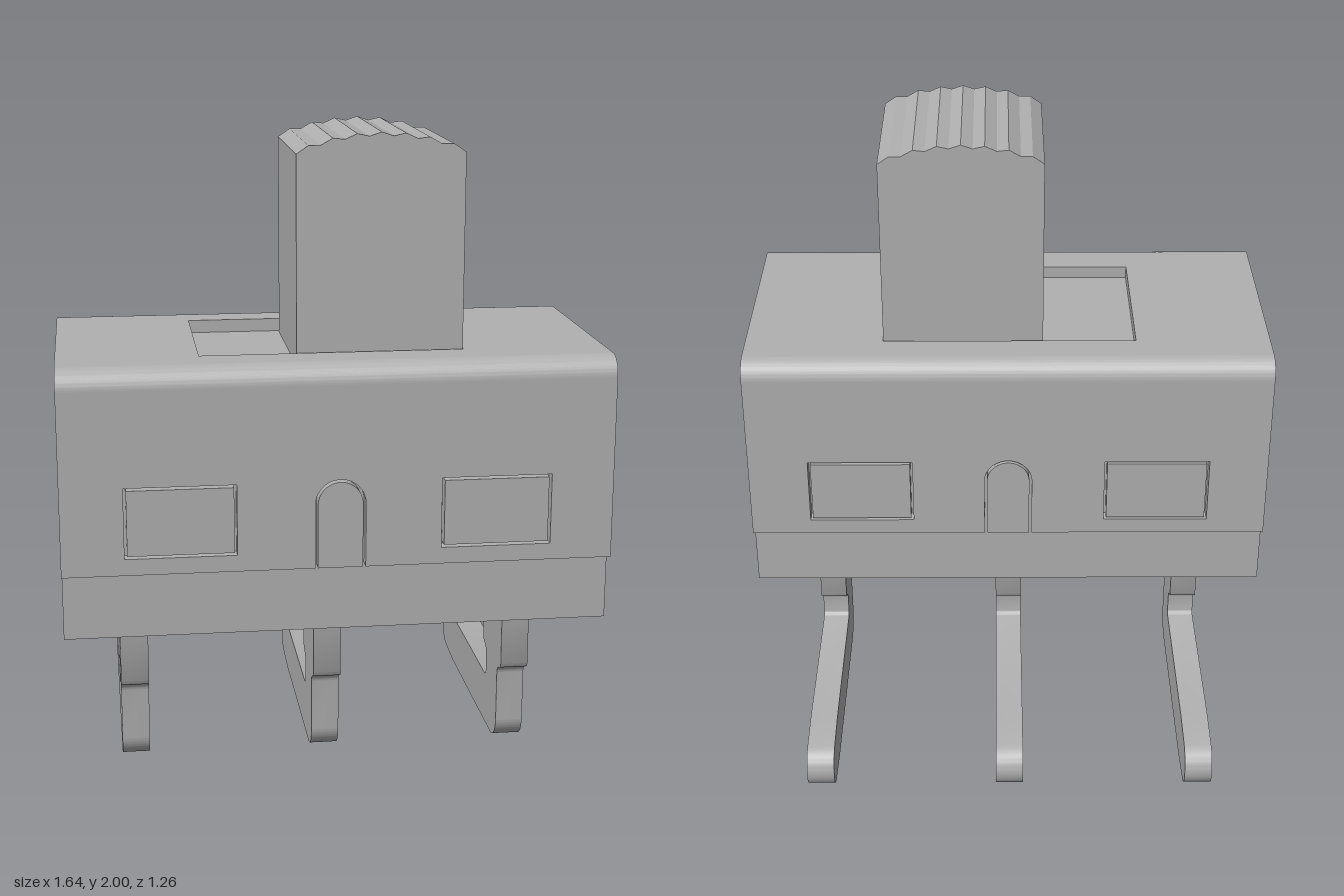
import * as THREE from 'three';
import { toCreasedNormals } from 'three/addons/utils/BufferGeometryUtils.js';

export function createModel() {
  const model = new THREE.Group();
  const grey = new THREE.MeshStandardMaterial({ color: 0xb0b0b0 });
  grey.name = 'plain grey';

  const add = (name, geometry, parent = model) => {
    const mesh = new THREE.Mesh(geometry, grey);
    mesh.name = name;
    parent.add(mesh);
    return mesh;
  };
  const box = (x0, x1, y0, y1, z0, z1) =>
    new THREE.BoxGeometry(x1 - x0, y1 - y0, z1 - z0)
      .translate((x0 + x1) / 2, (y0 + y1) / 2, (z0 + z1) / 2);
  const extrude = (shape, depth) => toCreasedNormals(
    new THREE.ExtrudeGeometry(shape, { depth, bevelEnabled: false, curveSegments: 12 }), 0.5);
  // Extrudes a (z, y) profile along x, centred on cx
  const alongX = (shape, width, cx) =>
    extrude(shape, width).rotateY(-Math.PI / 2).translate(cx + width / 2, 0, 0);
  const rect = (path, x0, x1, y0, y1) => {
    path.moveTo(x0, y0);
    path.lineTo(x1, y0);
    path.lineTo(x1, y1);
    path.lineTo(x0, y1);
    path.closePath();
    return path;
  };

  const X = 0.82, T = 0.04, top = 1.355, bottom = 0.74, gap = 0.008;
  const front = 0.63, back = -0.22, R = 0.06;

  // Inner body
  add('body', box(-X + 0.001, X - 0.001, 0.535, top - T, back + T, front - T));

  // Folded cover: slotted top, two rounded bends, two walls
  const cover = new THREE.Group();
  cover.name = 'cover';
  model.add(cover);
  const topShape = rect(new THREE.Shape(), -X, X, -(front - R), -(back + R));
  topShape.holes.push(rect(new THREE.Path(), -0.4, 0.39, -0.465, 0.065));
  add('coverTop', extrude(topShape, T).rotateX(-Math.PI / 2).translate(0, top - T, 0), cover);

  for (const [z, start] of [[front - R, 0], [back + R, Math.PI / 2]]) {
    const bend = new THREE.Shape();
    bend.absarc(z, top - R, R, start, start + Math.PI / 2, false);
    bend.absarc(z, top - R, R - T, start + Math.PI / 2, start, true);
    bend.closePath();
    add('coverBend', alongX(bend, 2 * X, 0), cover);
  }

  // Wall outline with an arched notch at the bottom and two window holes
  const archR = 0.075, archY = 0.935;
  const wall = new THREE.Shape();
  wall.moveTo(-X, bottom);
  wall.lineTo(-archR, bottom);
  wall.lineTo(-archR, archY);
  wall.absarc(0, archY, archR, Math.PI, 0, true);
  wall.lineTo(archR, bottom);
  wall.lineTo(X, bottom);
  wall.lineTo(X, top - R);
  wall.lineTo(-X, top - R);
  wall.closePath();
  const windows = [[-0.635, -0.305], [0.302, 0.632]];
  for (const [a, b] of windows) wall.holes.push(rect(new THREE.Path(), a, b, 0.79, 1.005));

  const arch = new THREE.Shape();
  arch.moveTo(-archR + gap, bottom);
  arch.lineTo(archR - gap, bottom);
  arch.lineTo(archR - gap, archY);
  arch.absarc(0, archY, archR - gap, 0, Math.PI, false);
  arch.closePath();

  for (const z of [front - T, back]) {
    add('coverWall', extrude(wall, T).translate(0, 0, z), cover);
    add('archTab', extrude(arch, T).translate(0, 0, z));
    for (const [a, b] of windows)
      add('latchTab', box(a + gap, b - gap, 0.79 + gap, 1.005 - gap, z, z + T));
  }

  // Slider with a ridged, gently arched top
  const slider = new THREE.Shape();
  slider.moveTo(-0.11, top - T);
  slider.lineTo(0.39, top - T);
  for (let k = 7; k >= -7; k--) {
    const d = k * 0.25 / 7;
    slider.lineTo(0.14 + d, 2 - 0.8 * d * d - (k % 2 ? 0.011 : 0));
  }
  slider.closePath();
  add('slider', new THREE.ExtrudeGeometry(slider, { depth: 0.505, bevelEnabled: false })
    .translate(0, 0, -0.05));

  // Bent terminal pins, profile in (z, y)
  const pin = new THREE.Shape();
  pin.moveTo(0.338, 0.536);
  pin.lineTo(0.338, 0.29);
  pin.quadraticCurveTo(0.335, 0.275, 0.315, 0.27);
  pin.quadraticCurveTo(0.287, 0.262, 0.285, 0.24);
  pin.lineTo(0.285, 0.08);
  pin.absarc(0.205, 0.08, 0.08, 0, -Math.PI / 2, true);
  pin.lineTo(-0.44, 0);
  pin.lineTo(-0.57, 0.013);
  pin.bezierCurveTo(-0.605, 0.018, -0.63, 0.045, -0.63, 0.083);
  pin.bezierCurveTo(-0.63, 0.12, -0.605, 0.148, -0.57, 0.153);
  pin.lineTo(-0.44, 0.166);
  pin.lineTo(0.1, 0.166);
  pin.quadraticCurveTo(0.122, 0.167, 0.122, 0.19);
  pin.lineTo(0.122, 0.24);
  pin.quadraticCurveTo(0.12, 0.262, 0.095, 0.27);
  pin.quadraticCurveTo(0.072, 0.275, 0.07, 0.29);
  pin.lineTo(0.07, 0.536);
  pin.closePath();
  for (const x of [-0.608, -0.002, 0.603]) add('terminalPin', alongX(pin, 0.087, x));

  return model;
}
